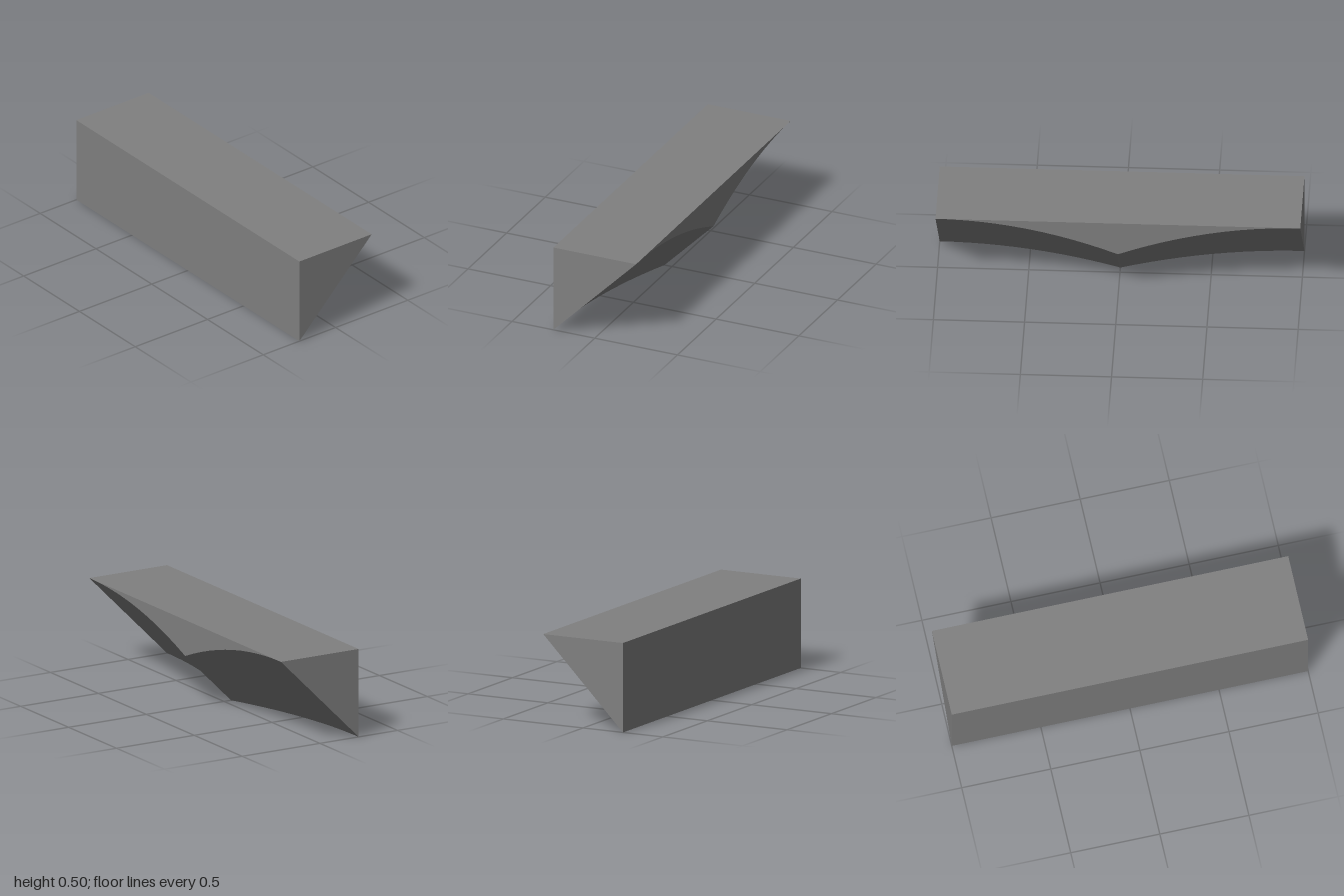
import * as THREE from 'three';

// Wedge-shaped bar whose sloping underside is hollowed by two arcs meeting in a mid ridge.
const DEPTH = 0.205; // how far the ridge drops below the end slope
const STEPS = 12;
const drop = (x) => DEPTH * (1 - Math.abs(x)) ** 2;

// Corner rails of the cross-section as functions of x
const frontBottom = (x) => [x, 0, 0.25];
const frontTop = (x) => [x, 0.5, 0.25];
const backTop = (x) => [x, 0.5, -0.25];
const backBottom = (x) => [x, 0.5 - drop(x), -0.25];
const bottomRear = (x) => [x, 0, 0.25 - drop(x)];

export function createModel() {
  const group = new THREE.Group();
  const gray = new THREE.MeshStandardMaterial({ color: 0x808080 });

  function add(name, positions, index) {
    const g = new THREE.BufferGeometry();
    g.setAttribute('position', new THREE.Float32BufferAttribute(positions, 3));
    g.setIndex(index);
    g.computeVertexNormals();
    const mesh = new THREE.Mesh(g, gray);
    mesh.name = name;
    group.add(mesh);
  }

  // Surface spanning two rails between x0 and x1
  function strip(name, railA, railB, x0, x1, steps) {
    const positions = [], index = [];
    for (let i = 0; i <= steps; i++) {
      const x = x0 + ((x1 - x0) * i) / steps;
      positions.push(...railA(x), ...railB(x));
      if (i < steps) {
        const a = 2 * i;
        index.push(a, a + 2, a + 3, a, a + 3, a + 1);
      }
    }
    add(name, positions, index);
  }

  strip('frontFace', frontBottom, frontTop, -1, 1, 1);
  strip('topFace', frontTop, backTop, -1, 1, 1);
  strip('backFace', backTop, backBottom, -1, 1, 2 * STEPS);
  strip('bottomFace', bottomRear, frontBottom, -1, 1, 2 * STEPS);

  // Curved undersides, creased at the ridge
  strip('rightArch', backBottom, bottomRear, -1, 0, STEPS);
  strip('leftArch', backBottom, bottomRear, 0, 1, STEPS);

  // Triangular ends
  for (const [name, x] of [['rightEnd', -1], ['leftEnd', 1]]) {
    add(name, [...frontBottom(x), ...backTop(x), ...frontTop(x)], x > 0 ? [0, 1, 2] : [0, 2, 1]);
  }
  return group;
}
